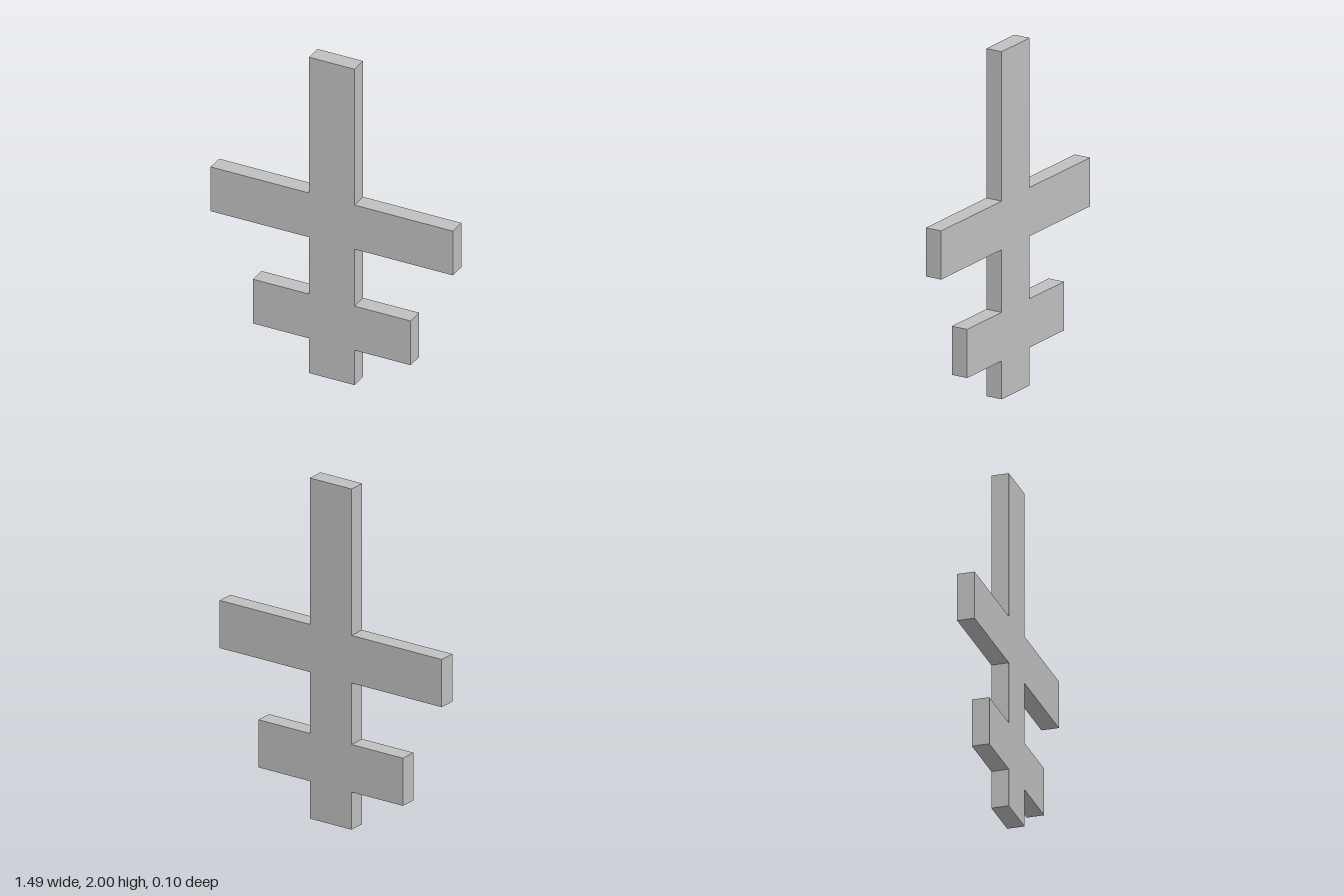
import * as THREE from 'three';

const POST = 0.14;   // half width of the upright
const DEPTH = 0.1;
const ARMS = [       // half width, bottom, top
  [0.485, 0.22, 0.5],
  [0.745, 0.86, 1.14],
];

export function createModel() {
  const group = new THREE.Group();
  group.name = 'doubleBarCross';
  const grey = new THREE.MeshStandardMaterial({ color: 0xc0c0c0 });
  grey.name = 'plain grey';

  // Right-hand half of the outline, from the foot to the top
  const half = [[POST, 0]];
  for (const [w, bottom, top] of ARMS) {
    half.push([POST, bottom], [w, bottom], [w, top], [POST, top]);
  }
  half.push([POST, 2]);

  // Mirror it to close the outline
  const mirrored = half.map(([x, y]) => [-x, y]).reverse();
  const outline = [...half, ...mirrored].map(([x, y]) => new THREE.Vector2(x, y));

  // Upright and both crossbars as one solid slab
  const geometry = new THREE.ExtrudeGeometry(new THREE.Shape(outline), {
    depth: DEPTH, bevelEnabled: false,
  });
  geometry.translate(0, 0, -DEPTH / 2);
  const slab = new THREE.Mesh(geometry, grey);
  slab.name = 'uprightWithCrossbars';
  group.add(slab);
  return group;
}
